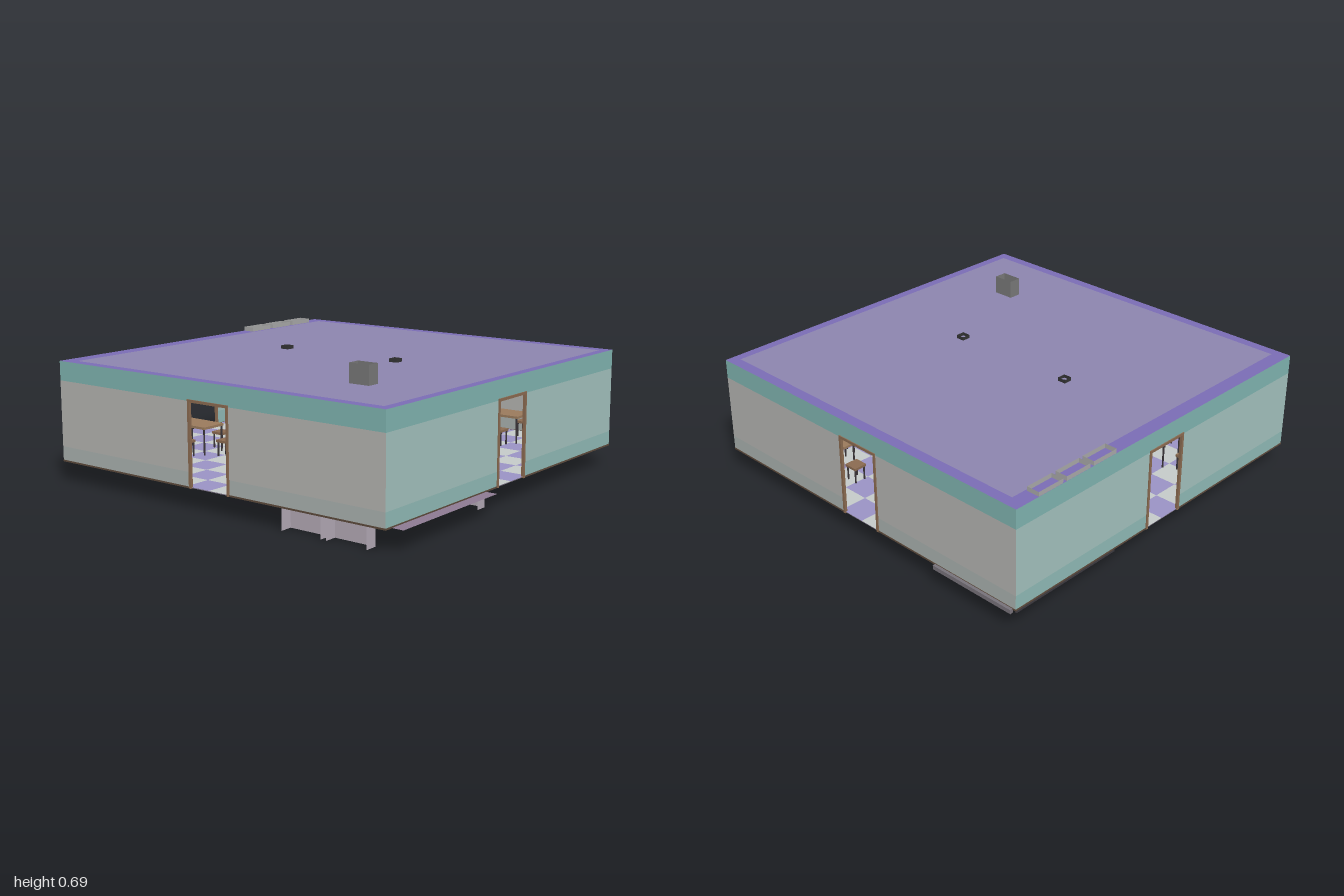
import * as THREE from 'three';

const FLOOR = 0.105, ROOF = 0.595, DOOR_TOP = 0.5;
const X0 = -1, X1 = 0.94, Z0 = -0.965, Z1 = 0.975;
const cache = {};
const mat = (color) => (cache[color] ??= new THREE.MeshStandardMaterial({ color, side: THREE.DoubleSide }));

export function createModel() {
  const room = new THREE.Group();
  room.name = 'room';

  function add(parent, name, geometry, color) {
    const mesh = new THREE.Mesh(geometry, mat(color));
    mesh.name = name;
    parent.add(mesh);
    return mesh;
  }
  // Box given by its two corners
  function box(parent, name, color, x0, x1, y0, y1, z0, z1) {
    const m = add(parent, name, new THREE.BoxGeometry(x1 - x0, y1 - y0, z1 - z0), color);
    m.position.set((x0 + x1) / 2, (y0 + y1) / 2, (z0 + z1) / 2);
    return m;
  }
  // Upright thin panel facing +z
  function panel(parent, name, color, x0, x1, y0, y1, z = 0) {
    const m = add(parent, name, new THREE.PlaneGeometry(x1 - x0, y1 - y0), color);
    m.position.set((x0 + x1) / 2, (y0 + y1) / 2, z);
    return m;
  }
  // Upright thin panel facing +x
  function sidePanel(parent, name, color, z0, z1, y0, y1, x) {
    const m = add(parent, name, new THREE.PlaneGeometry(z1 - z0, y1 - y0), color);
    m.rotation.y = Math.PI / 2;
    m.position.set(x, (y0 + y1) / 2, (z0 + z1) / 2);
    return m;
  }
  // Level thin panel facing up
  function sheet(parent, name, color, x0, x1, z0, z1, y) {
    const m = add(parent, name, new THREE.PlaneGeometry(x1 - x0, z1 - z0), color);
    m.rotation.x = -Math.PI / 2;
    m.position.set((x0 + x1) / 2, y, (z0 + z1) / 2);
    return m;
  }
  // Four thin sides without top or bottom
  function openDuct(parent, name, color, x0, x1, y0, y1, z0, z1) {
    for (const z of [z0, z1]) panel(parent, name, color, x0, x1, y0, y1, z);
    for (const x of [x0, x1]) sidePanel(parent, name, color, z0, z1, y0, y1, x);
  }

  // Walls in three bands around a framed doorway
  function wall(name, s0, s1, d0, d1, mid, low, angle, x, z) {
    const g = new THREE.Group();
    g.name = name;
    for (const [a, b] of [[s0, d0], [d1, s1]]) {
      panel(g, 'lowerWallBand', low, a, b, FLOOR, 0.175);
      panel(g, 'middleWallBand', mid, a, b, 0.175, DOOR_TOP);
      box(g, 'skirting', 0x5c4a3c, a, b, 0.1, 0.108, -0.004, 0.002);
    }
    panel(g, 'upperWallBand', 0x7fb3af, s0, s1, DOOR_TOP, ROOF);
    box(g, 'doorPost', 0x8a6a50, d0 - 0.004, d0 + 0.009, 0.1, 0.508, -0.008, 0.005);
    box(g, 'doorPost', 0x8a6a50, d1 - 0.009, d1 + 0.004, 0.1, 0.508, -0.008, 0.005);
    box(g, 'doorLintel', 0x8a6a50, d0 + 0.009, d1 - 0.009, 0.495, 0.508, -0.008, 0.005);
    g.rotation.y = angle;
    g.position.set(x, 0, z);
    room.add(g);
  }
  const PALE = 0xb3b3b0, TEAL = 0xa2c0bc;
  wall('frontWall', X0, X1, -0.145, 0.09, PALE, 0xa9b1ae, 0, 0, Z1);
  wall('backWall', -X1, -X0, -0.09, 0.145, PALE, 0xa9b1ae, Math.PI, 0, Z0);
  wall('leftWall', -Z1, -Z0, -0.125, 0.108, TEAL, 0x8fb9b5, Math.PI / 2, X1, 0);
  wall('rightWall', Z0, Z1, -0.108, 0.125, TEAL, 0x8fb9b5, -Math.PI / 2, X0, 0);

  // Ceiling with a deeper coloured border
  const ix0 = -0.925, ix1 = 0.895, iz0 = -0.91, iz1 = 0.925;
  sheet(room, 'ceiling', 0x8c84ae, ix0, ix1, iz0, iz1, ROOF);
  const BORDER = 0x7a6cb4;
  sheet(room, 'ceilingBorder', BORDER, X0, ix0, Z0, Z1, ROOF);
  sheet(room, 'ceilingBorder', BORDER, ix1, X1, Z0, Z1, ROOF);
  sheet(room, 'ceilingBorder', BORDER, ix0, ix1, Z0, iz0, ROOF);
  sheet(room, 'ceilingBorder', BORDER, ix0, ix1, iz1, Z1, ROOF);

  // Floor underside and checkered tiles
  sheet(room, 'floorBase', 0x6a6272, X0, X1, Z0, Z1, 0.103);
  const n = 14, t = (X1 - X0) / n;
  for (let i = 0; i < n; i++) {
    for (let j = 0; j < n; j++) {
      sheet(room, 'floorTile', (i + j) % 2 ? 0x9a92c4 : 0xc4cac8,
        X0 + i * t, X0 + (i + 1) * t, Z0 + j * t, Z0 + (j + 1) * t, 0.107);
    }
  }

  // Pendant lamps with ceiling caps
  for (const [x, color] of [[-0.387, 0xb4c23c], [0.292, 0xc04a58]]) {
    const lamp = new THREE.Group();
    lamp.name = 'pendantLamp';
    lamp.position.set(x, 0, 0.01);
    add(lamp, 'lampShade', new THREE.CylinderGeometry(0.055, 0.074, 0.055, 16, 1, true), color).position.y = 0.47;
    add(lamp, 'lampTop', new THREE.CircleGeometry(0.055, 16).rotateX(-Math.PI / 2), color).position.y = 0.497;
    add(lamp, 'lampCord', new THREE.CylinderGeometry(0.006, 0.006, 0.1, 8), 0x333333).position.y = 0.547;
    openDuct(lamp, 'lampCap', 0x333333, -0.022, 0.022, 0.58, 0.612, -0.022, 0.022);
    room.add(lamp);
  }

  // Kitchen island below an extractor duct that passes through the ceiling
  openDuct(room, 'extractorDuct', 0x777777, 0.47, 0.578, 0.45, 0.687, 0.54, 0.605);
  const hood = add(room, 'extractorHood', new THREE.CylinderGeometry(0.08, 0.16, 0.05, 4, 1, true).rotateY(Math.PI / 4), 0x777777);
  hood.position.set(0.524, 0.43, 0.572);
  box(room, 'island', 0x4d4260, 0.37, 0.67, 0.1, 0.24, 0.47, 0.69);

  // Corner counter with a dark rim showing beneath the floor
  box(room, 'counterBack', 0xa39aa8, -0.99, -0.54, 0.11, 0.24, -0.95, -0.8);
  box(room, 'counterSide', 0xa39aa8, -0.99, -0.79, 0.11, 0.24, -0.8, -0.33);
  const DARK = 0x3c3a40, b0 = 0.087, b1 = 0.106;
  box(room, 'counterRim', DARK, -0.55, -0.54, b0, b1, -0.96, -0.8);
  box(room, 'counterRim', DARK, -0.8, -0.54, b0, b1, -0.81, -0.8);
  box(room, 'counterRim', DARK, -0.8, -0.79, b0, b1, -0.8, -0.33);
  box(room, 'counterRim', DARK, -1, -0.79, b0, b1, -0.34, -0.33);
  box(room, 'counterRim', DARK, -1, -0.99, b0, b1, -0.96, -0.34);
  box(room, 'counterBackLedge', 0x77727a, -0.985, -0.52, 0.086, 0.106, -0.982, -0.965);

  // Wall cupboards whose sides rise above the ceiling
  for (const z of [-0.345, -0.515, -0.685]) {
    openDuct(room, 'wallCupboard', 0xa8a8a8, -0.999, -0.935, 0.4, 0.617, z - 0.147, z);
  }

  // Square dark frame under the front edge
  for (const x of [-0.47, -0.3]) box(room, 'floorFrame', 0x2c2a30, x, x + 0.01, 0.094, 0.106, 0.83, 0.95);
  for (const z of [0.83, 0.94]) box(room, 'floorFrame', 0x2c2a30, -0.46, -0.3, 0.094, 0.106, z, z + 0.01);

  // Bench fronts hanging below the floor, each a thin panel with end tabs
  const BENCH = 0xb2a8b4;
  for (const [x0, x1, y0, z0, z1] of [
    [0.393, 0.605, 0, 0.915, 0.975], [0.635, 0.845, 0, 0.915, 0.975], [0.615, 0.935, 0.03, 0.222, 0.28],
  ]) {
    panel(room, 'benchFront', BENCH, x0, x1, y0, 0.106, z0);
    for (const x of [x0, x1]) sidePanel(room, 'benchEnd', BENCH, z0, z1, y0, 0.106, x);
  }
  sheet(room, 'sideShelf', 0x8d7a92, 0.86, 1, 0.22, 0.935, 0.102);

  // Tables and stools with feet poking through the floor
  function legs(x, z, w, d, top, bottom, name, color) {
    box(room, name + 'Top', color, x - w, x + w, top - 0.012, top, z - d, z + d);
    for (const i of [-1, 1]) {
      for (const j of [-1, 1]) {
        const leg = add(room, name + 'Leg', new THREE.CylinderGeometry(0.005, 0.004, top - bottom, 6), 0x3a3438);
        leg.position.set(x + i * (w - 0.008), (top + bottom) / 2 - 0.005, z + j * (d - 0.008));
      }
    }
  }
  for (const [x, z, foot] of [[0.46, -0.74, 0.09], [-0.62, 0.43, 0.102]]) {
    legs(x, z, 0.11, 0.07, 0.25, foot, 'table', 0x9a7a5c);
    for (const s of [-1, 1]) {
      legs(x + s * 0.19, z, 0.035, 0.035, 0.19, foot, 'stool', 0x8a6a50);
      legs(x + 0.04, z + s * 0.13, 0.035, 0.035, 0.19, foot, 'stool', 0x8a6a50);
    }
  }
  return room;
}
